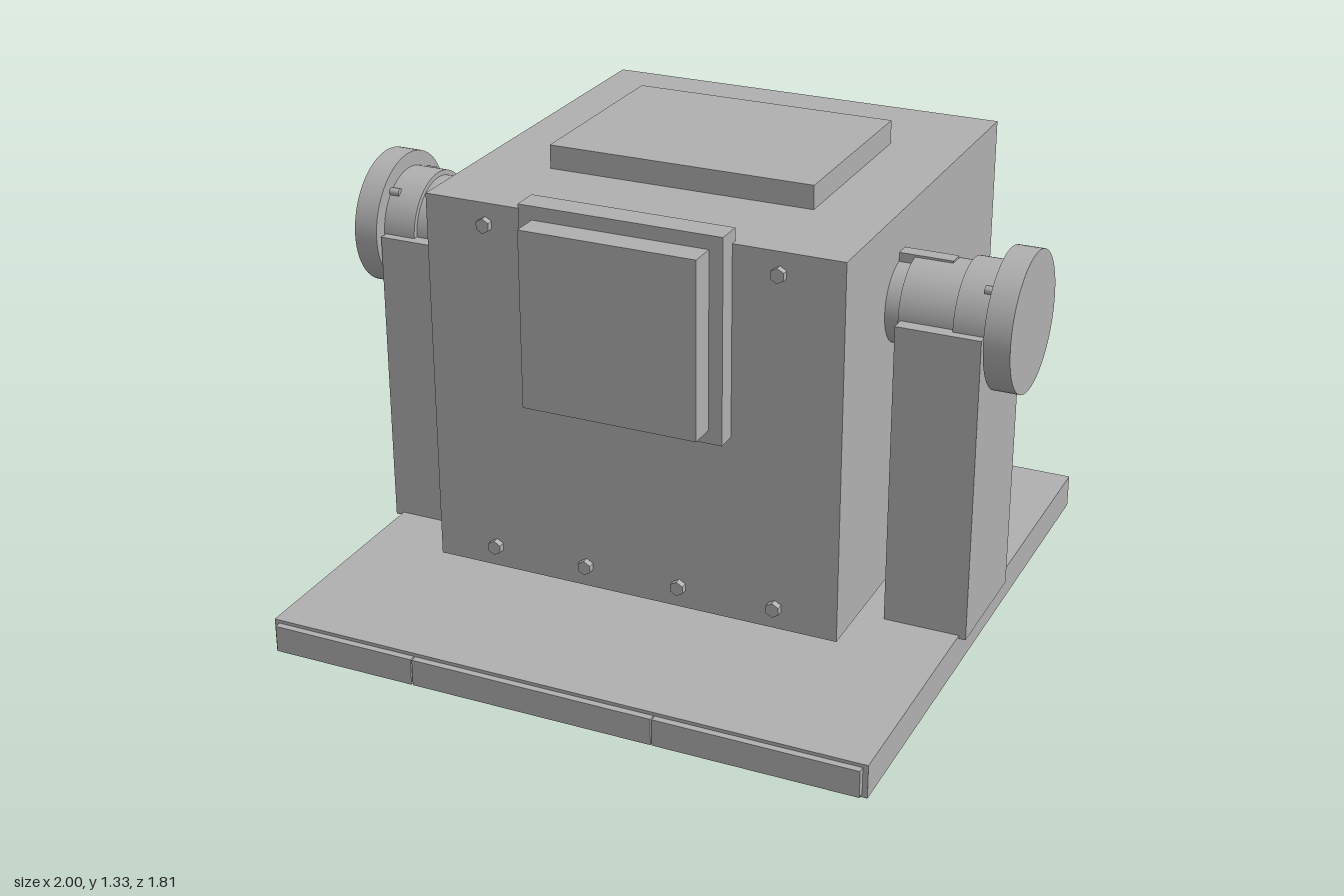
import * as THREE from 'three';

const grey = new THREE.MeshStandardMaterial({ color: 0xb0b0b0 });
grey.name = 'machine grey';

function add(parent, name, geometry) {
  const mesh = new THREE.Mesh(geometry, grey);
  mesh.name = name;
  parent.add(mesh);
  return mesh;
}

// Box given by its limits on each axis
function block(parent, name, [x0, x1], [y0, y1], [z0, z1]) {
  const mesh = add(parent, name, new THREE.BoxGeometry(x1 - x0, y1 - y0, z1 - z0));
  mesh.position.set((x0 + x1) / 2, (y0 + y1) / 2, (z0 + z1) / 2);
  return mesh;
}

// Cylinder lying along x
function barX(parent, name, x0, x1, radius, y, z, sides = 64) {
  const mesh = add(parent, name, new THREE.CylinderGeometry(radius, radius, Math.abs(x1 - x0), sides));
  mesh.rotation.z = Math.PI / 2;
  mesh.position.set((x0 + x1) / 2, y, z);
  return mesh;
}

export function createModel() {
  const model = new THREE.Group();
  model.name = 'pivotingBox';

  // Base plate and the three-piece strip along its front edge
  block(model, 'basePlate', [-0.895, 0.895], [0, 0.1], [-0.905, 0.885]);
  for (const [x0, x1] of [[-0.88, -0.442], [-0.438, 0.288], [0.292, 0.88]]) {
    block(model, 'frontStrip', [x0, x1], [0.01, 0.09], [0.88, 0.905]);
  }

  // Main housing with its top plate and stepped front cover
  block(model, 'housing', [-0.62, 0.62], [0.14, 1.262], [-0.83, 0.41]);
  block(model, 'topPlate', [-0.4, 0.4], [1.25, 1.332], [-0.51, 0.09]);
  block(model, 'coverFrame', [-0.3, 0.3], [0.7, 1.3], [0.39, 0.47]);
  block(model, 'coverPanel', [-0.26, 0.26], [0.74, 1.26], [0.46, 0.55]);

  // Hexagonal bolts on the front face
  const boltGeometry = new THREE.CylinderGeometry(0.022, 0.022, 0.03, 6).toNonIndexed();
  boltGeometry.computeVertexNormals();
  for (const [x, y] of [[-0.435, 1.2], [0.435, 1.2], [-0.435, 0.205], [-0.145, 0.205], [0.145, 0.205], [0.435, 0.205]]) {
    const bolt = add(model, 'frontBolt', boltGeometry);
    bolt.rotation.x = Math.PI / 2;
    bolt.position.set(x, y, 0.415);
  }

  // Support post, stepped trunnion and end disc on each side
  for (const s of [-1, 1]) {
    const support = new THREE.Group();
    support.name = s > 0 ? 'leftSupport' : 'rightSupport';
    model.add(support);
    const y = 1, z = -0.01;
    block(support, 'post', s > 0 ? [0.672, 0.915] : [-0.92, -0.672], [0.09, 1], [-0.19, 0.173]);
    barX(support, 'shaft', s * 0.6, s * 0.67, 0.12, y, z);
    barX(support, 'bearing', s * 0.665, s * 0.83, 0.14, y, z);
    barX(support, 'collar', s * 0.825, s * 0.925, 0.155, y, z);
    barX(support, 'endDisc', s * 0.925, s * (s > 0 ? 1 : 0.998), 0.2, y, z);

    // Key lying on top of the shaft
    block(support, 'shaftKey', s > 0 ? [0.61, 0.775] : [-0.775, -0.61], [1.1, 1.145], [-0.037, 0.008]);

    // Small pins between collar and disc
    for (const dz of [-0.105, 0.105]) {
      barX(support, 'collarPin', s * 0.895, s * 0.935, 0.012, y + 0.115, z + dz, 12);
    }
  }

  // Thin cap at the centre of the right end disc
  barX(model, 'discCap', -0.99, -1, 0.1, 1, -0.01);

  return model;
}
